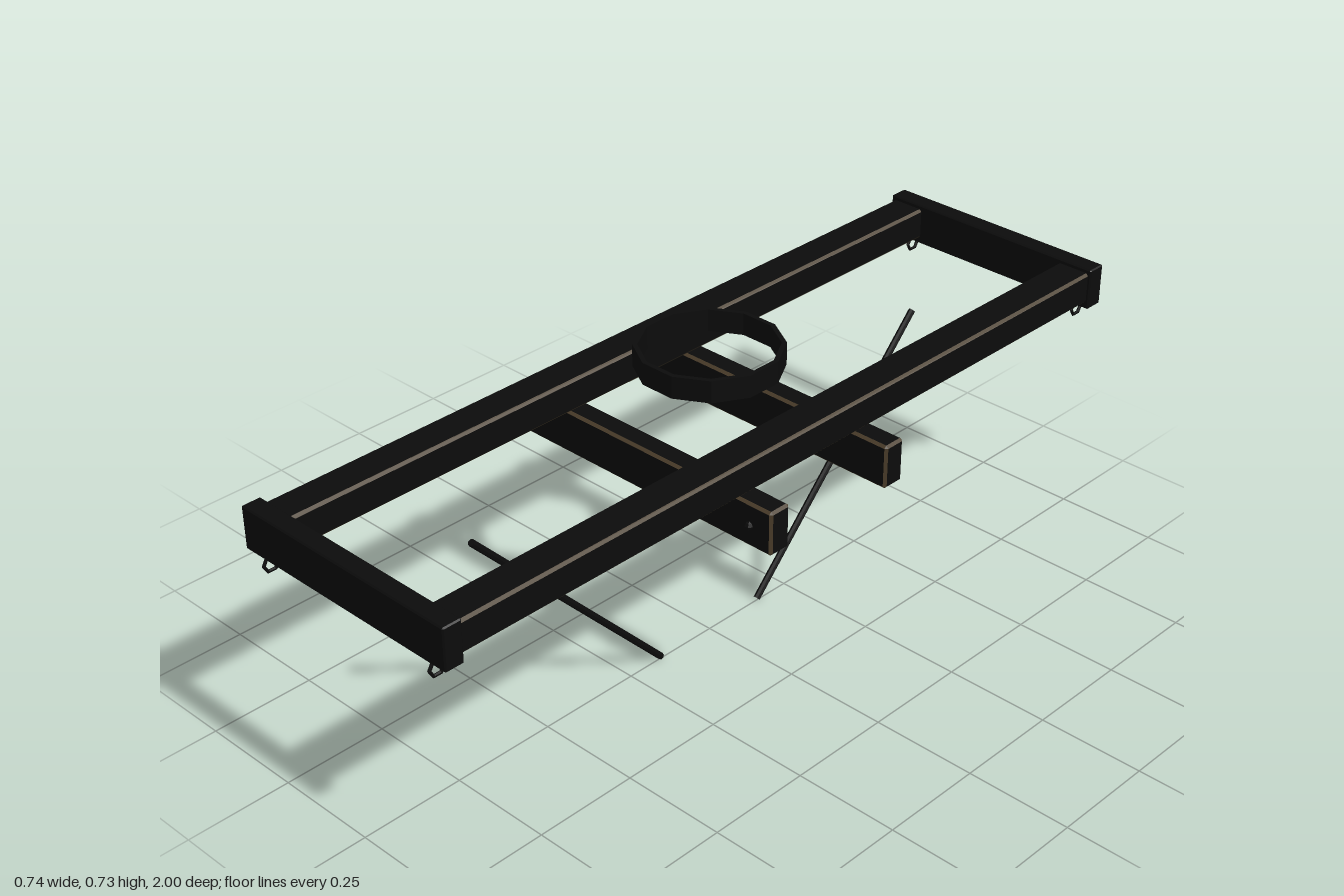
import * as THREE from 'three';
import { ConvexGeometry } from 'three/addons/geometries/ConvexGeometry.js';

const black = new THREE.MeshStandardMaterial({ color: 0x0b0b0b, flatShading: true });
const brown = new THREE.MeshStandardMaterial({ color: 0x4a3d2a, flatShading: true });

// Box with chamfered edges; the chamfers take the second material.
function chamferBox(w, h, d, c) {
  const half = [w / 2, h / 2, d / 2];
  const points = [];
  for (const sx of [-1, 1]) for (const sy of [-1, 1]) for (const sz of [-1, 1]) {
    const s = [sx, sy, sz];
    for (let axis = 0; axis < 3; axis++) {
      points.push(new THREE.Vector3(...s.map((v, i) => v * (half[i] - (i === axis ? 0 : c)))));
    }
  }
  const geo = new ConvexGeometry(points);
  const n = geo.attributes.normal;
  for (let i = 0; i < n.count; i += 3) {
    const flat = Math.max(Math.abs(n.getX(i)), Math.abs(n.getY(i)), Math.abs(n.getZ(i))) > 0.99;
    geo.addGroup(i, 3, flat ? 0 : 1);
  }
  return geo;
}

export function createModel() {
  const model = new THREE.Group();
  model.name = 'frame';
  const add = (name, geo, mat, x, y, z) => {
    const mesh = new THREE.Mesh(geo, mat);
    mesh.name = name;
    mesh.position.set(x, y, z);
    model.add(mesh);
    return mesh;
  };

  const railGeo = chamferBox(0.086, 0.076, 1.92, 0.006);
  const beamGeo = chamferBox(0.736, 0.105, 0.056, 0.006);
  const plateGeo = chamferBox(0.594, 0.1, 0.046, 0.003);
  const eyeletGeo = new THREE.TorusGeometry(0.018, 0.004, 6, 6);
  const boltGeo = new THREE.SphereGeometry(0.01, 6, 4);

  // Long side rails
  for (const sx of [-1, 1]) add(sx > 0 ? 'leftRail' : 'rightRail', railGeo, [black, brown], sx * 0.247, 0.612, 0);

  for (const sz of [-1, 1]) {
    const end = sz > 0 ? 'front' : 'back';
    add(end + 'EndPlate', plateGeo, black, 0, 0.61, sz * 0.977);
    add(end + 'CrossBeam', beamGeo, [black, brown], 0, 0.5145, sz * 0.178);

    // Hanging eyelets and beam bolts
    for (const sx of [-1, 1]) {
      const side = sx > 0 ? 'Left' : 'Right';
      add(end + side + 'Eyelet', eyeletGeo, black, sx * 0.247, 0.539, sz * 0.98).rotation.y = Math.PI / 2;
      add(end + side + 'Bolt', boltGeo, black, sx * 0.308, 0.513, sz * 0.206);
    }

    // Slanted strut
    const low = new THREE.Vector3(0, 0.006, sz * 0.157);
    const high = new THREE.Vector3(0, 0.556, sz * 0.678);
    const strutGeo = new THREE.CylinderGeometry(0.008, 0.008, low.distanceTo(high), 8);
    const mid = low.clone().add(high).multiplyScalar(0.5);
    const strut = add(end + 'Strut', strutGeo, black, mid.x, mid.y, mid.z);
    strut.quaternion.setFromUnitVectors(new THREE.Vector3(0, 1, 0), high.sub(low).normalize());
  }

  // Twelve-sided hoop above the middle
  const hoopProfile = [[0.152, -0.026], [0.163, -0.026], [0.163, 0.026], [0.152, 0.026], [0.152, -0.026]]
    .map(([r, y]) => new THREE.Vector2(r, y));
  add('hoop', new THREE.LatheGeometry(hoopProfile, 12, Math.PI / 12), black, 0, 0.709, 0);

  return model;
}
